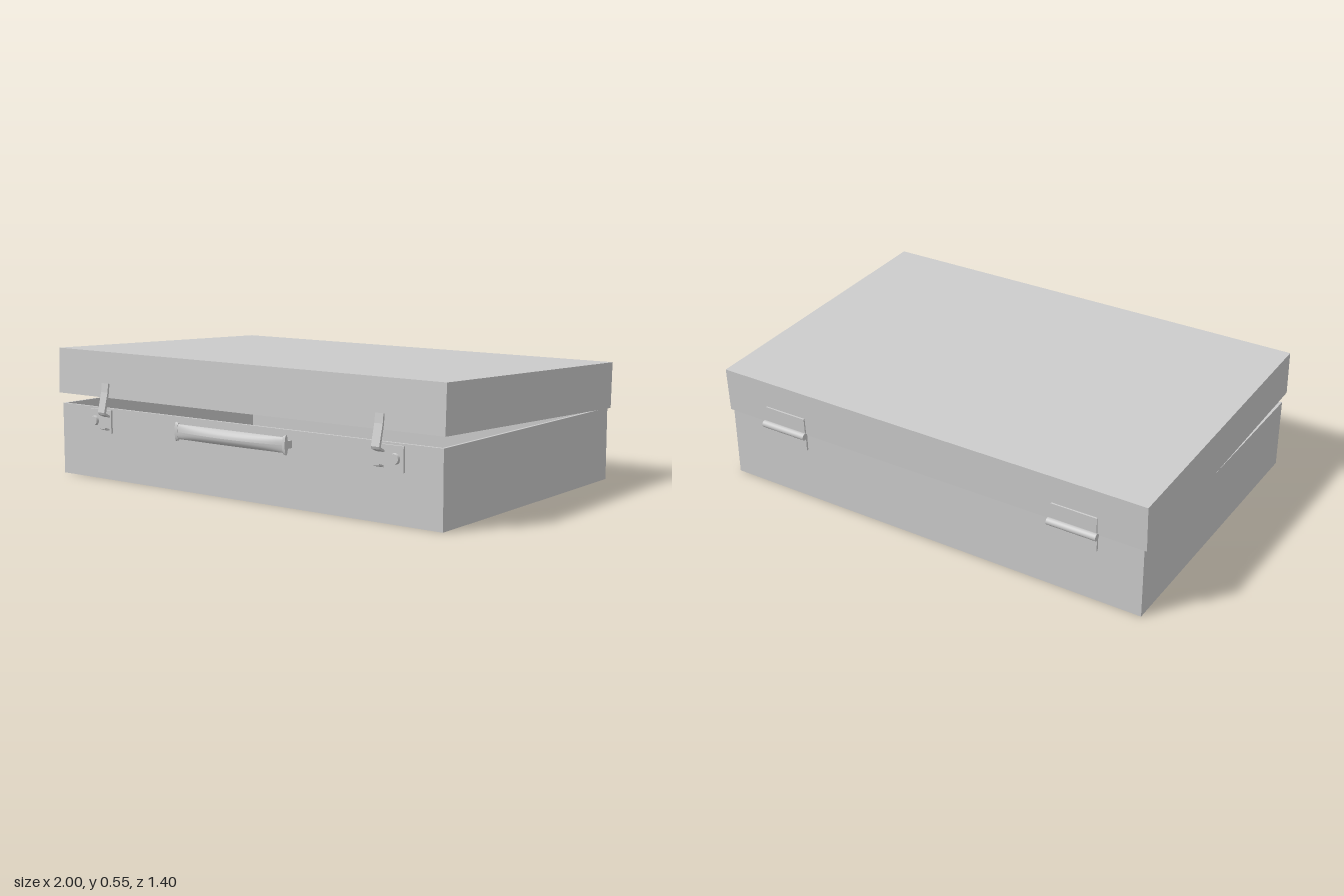
import * as THREE from 'three';

const material = new THREE.MeshStandardMaterial({ color: 0xcccccc, side: THREE.DoubleSide });

function add(parent, name, geometry, x = 0, y = 0, z = 0) {
  const mesh = new THREE.Mesh(geometry, material);
  mesh.name = name;
  mesh.position.set(x, y, z);
  parent.add(mesh);
  return mesh;
}

const box = (w, h, d) => new THREE.BoxGeometry(w, h, d);

// Hollow tray standing on y = 0; the closed panel is at the bottom or the top
function addTray(parent, name, w, h, d, z, closedTop) {
  const t = 0.012;
  const rect = (Path, a, b) => new Path([[-a, -b], [a, -b], [a, b], [-a, b]].map(p => new THREE.Vector2(...p)));
  const outline = rect(THREE.Shape, w / 2, d / 2);
  outline.holes.push(rect(THREE.Path, w / 2 - t, d / 2 - t));
  const walls = new THREE.ExtrudeGeometry(outline, { depth: h, bevelEnabled: false });
  walls.rotateX(-Math.PI / 2);
  add(parent, name + 'Walls', walls, 0, 0, z);
  add(parent, name + 'Panel', box(w - t, t, d - t), 0, closedTop ? h - t / 2 : t / 2, z);
}

// Strip with a side profile of [z, y] points, extruded along x and centred on it
function stripGeometry(points, width) {
  const shape = new THREE.Shape(points.map(([z, y]) => new THREE.Vector2(-z, y)));
  const g = new THREE.ExtrudeGeometry(shape, { depth: width, bevelEnabled: false });
  g.translate(0, 0, -width / 2);
  g.rotateY(Math.PI / 2);
  return g;
}

// Grip with a nearly flat back and a bowed front
function gripGeometry() {
  const half = 0.275;
  const g = new THREE.CylinderGeometry(1, 1, 2 * half, 24, 20);
  g.rotateZ(Math.PI / 2);
  const p = g.attributes.position;
  for (let i = 0; i < p.count; i++) {
    const bow = 1 - (p.getX(i) / half) ** 2;
    const z = p.getZ(i);
    p.setY(i, p.getY(i) * 0.031);
    p.setZ(i, z > 0 ? z * (0.008 + 0.026 * bow) : z * (0.007 - 0.003 * bow));
  }
  g.computeVertexNormals();
  return g;
}

export function createModel() {
  const model = new THREE.Group();
  model.name = 'briefcase';

  // Lower shell
  const base = new THREE.Group();
  base.name = 'base';
  model.add(base);
  addTray(base, 'base', 1.975, 0.31, 1.29, -0.017, false);

  // Lid, slightly open about the rear edge
  const lid = new THREE.Group();
  lid.name = 'lid';
  lid.position.set(0, 0.31, -0.668);
  lid.rotation.x = -0.035;
  model.add(lid);
  addTray(lid, 'lid', 2, 0.196, 1.307, 0.6535, true);

  for (const side of [-1, 1]) {
    // Hinge
    const hx = side * 0.692;
    add(base, 'lowerHingeLeaf', box(0.2, 0.075, 0.01), hx, 0.272, -0.666);
    add(lid, 'upperHingeLeaf', box(0.2, 0.075, 0.008), hx, 0.04, -0.003);
    const barrel = new THREE.CylinderGeometry(0.015, 0.015, 0.215, 20);
    barrel.rotateZ(Math.PI / 2);
    add(base, 'hingeBarrel', barrel, hx, 0.31, -0.686);
    add(base, 'hingeWeb', box(0.2, 0.008, 0.02), hx, 0.31, -0.674);

    // Latch plate with round button
    add(base, 'latchPlate', box(0.132, 0.1, 0.01), side * 0.753, 0.252, 0.632);
    const button = new THREE.CylinderGeometry(0.019, 0.022, 0.012, 20);
    button.rotateX(Math.PI / 2);
    add(base, 'latchButton', button, side * 0.782, 0.252, 0.642);

    // Bent hasp reaching up to the lid
    const hasp = stripGeometry([
      [0.63, 0.415], [0.643, 0.418], [0.648, 0.38], [0.67, 0.295], [0.666, 0.285],
      [0.637, 0.272], [0.637, 0.28], [0.659, 0.292], [0.64, 0.375], [0.636, 0.406], [0.63, 0.406]
    ], 0.038);
    add(base, 'latchHasp', hasp, side * 0.713, 0, 0);
    add(base, 'latchLever', stripGeometry([
      [0.636, 0.214], [0.664, 0.224], [0.664, 0.231], [0.636, 0.222]
    ], 0.03), side * 0.713, 0, 0);
  }

  // Handle
  const handle = new THREE.Group();
  handle.name = 'handle';
  handle.position.set(0, 0.255, 0.662);
  model.add(handle);
  add(handle, 'grip', gripGeometry());
  for (const side of [-1, 1]) {
    const cap = new THREE.CylinderGeometry(0.04, 0.036, 0.014, 20);
    cap.rotateZ(-side * Math.PI / 2);
    cap.scale(1, 1, 0.26);
    add(handle, 'gripCap', cap, side * 0.281, 0, 0);
    add(handle, 'handlePost', box(0.008, 0.03, 0.036), side * 0.284, 0, -0.018);
  }

  return model;
}
